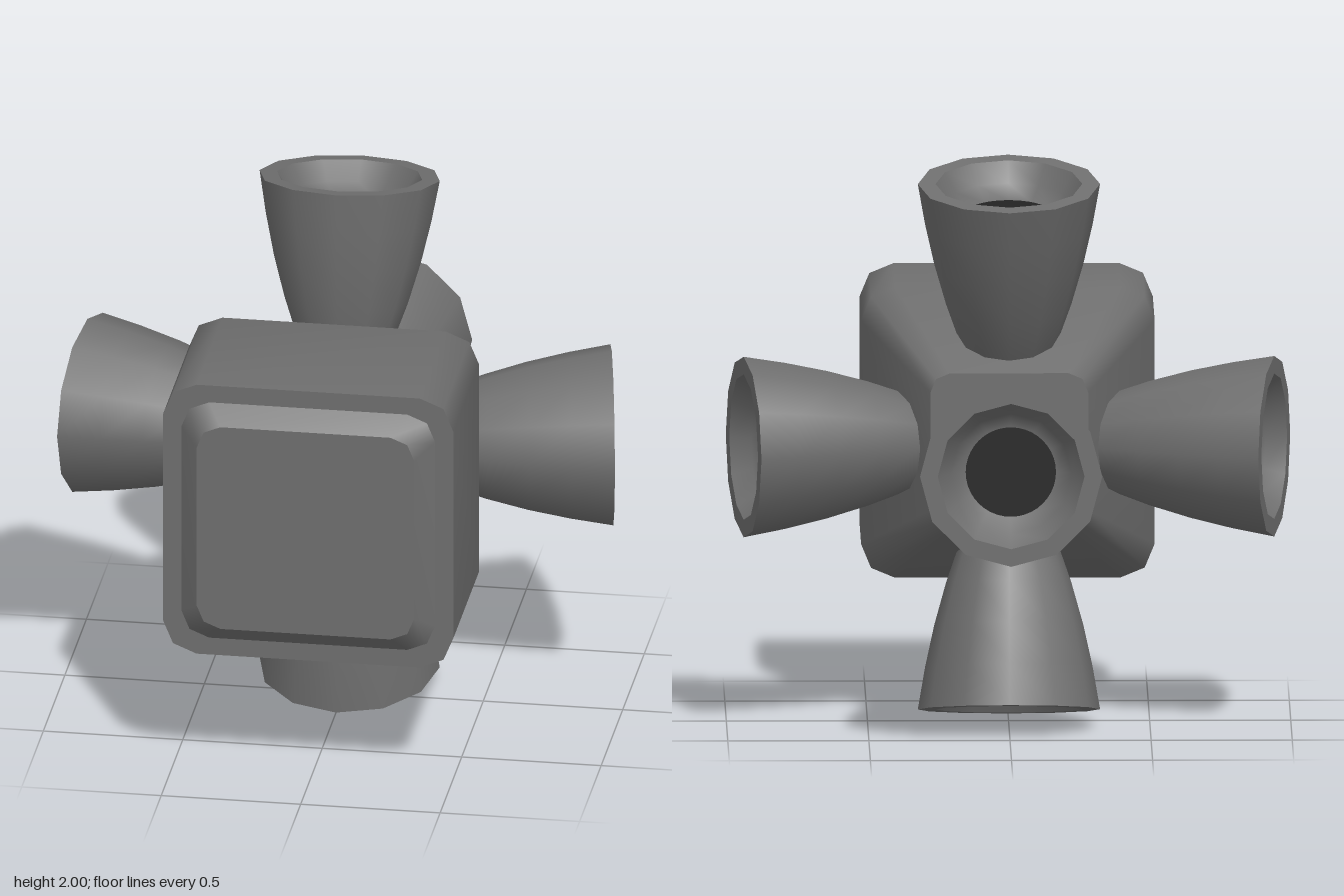
import * as THREE from 'three';

const hull = new THREE.MeshStandardMaterial({ color: 0x6e6e6e });
hull.name = 'hullGrey';
const dark = new THREE.MeshStandardMaterial({ color: 0x222222 });
dark.name = 'throatDark';

// Square outline with two-facet rounded corners, anticlockwise seen from +z
function outline(half, radius) {
  const points = [];
  for (let corner = 0; corner < 4; corner++) {
    const base = corner * Math.PI / 2;
    const cx = Math.SQRT2 * (half - radius) * Math.cos(base + Math.PI / 4);
    const cy = Math.SQRT2 * (half - radius) * Math.sin(base + Math.PI / 4);
    for (let i = 0; i < 3; i++) {
      const a = base + i * Math.PI / 4;
      points.push(new THREE.Vector2(cx + radius * Math.cos(a), cy + radius * Math.sin(a)));
    }
  }
  return points;
}

// Smooth skin through sections [half, radius, z], ordered front to back
function loft(sections) {
  const positions = [], index = [], n = 12;
  sections.forEach(([half, radius, z], s) => {
    outline(half, radius).forEach((p) => positions.push(p.x, p.y, z));
    if (!s) return;
    for (let i = 0; i < n; i++) {
      const a = (s - 1) * n + i, b = (s - 1) * n + (i + 1) % n;
      index.push(a, a + n, b, b, a + n, b + n);
    }
  });
  const geometry = new THREE.BufferGeometry();
  geometry.setAttribute('position', new THREE.Float32BufferAttribute(positions, 3));
  geometry.setIndex(index);
  geometry.computeVertexNormals();
  return geometry;
}

function cap(half, radius, z, back = false) {
  const geometry = new THREE.ShapeGeometry(new THREE.Shape(outline(half, radius)));
  if (back) geometry.rotateY(Math.PI);
  return geometry.translate(0, 0, z);
}

function add(parent, name, geometry, material = hull) {
  const mesh = new THREE.Mesh(geometry, material);
  mesh.name = name;
  parent.add(mesh);
  return mesh;
}

function lathe(points) {
  return new THREE.LatheGeometry(points.map(([r, y]) => new THREE.Vector2(r, y)), 12);
}

// Bell nozzle along +y with its rim at y = 0
function makeNozzle() {
  const nozzle = new THREE.Group();
  nozzle.name = 'nozzle';
  add(nozzle, 'nozzleBell', lathe([
    [0.1, -0.75], [0.17, -0.6], [0.222, -0.45], [0.264, -0.3], [0.297, -0.15], [0.323, 0],
  ]));
  add(nozzle, 'nozzleRim', lathe([[0.323, 0], [0.26, 0]]));
  add(nozzle, 'nozzleCup', lathe([[0.26, 0], [0.215, -0.07], [0.165, -0.12], [0, -0.125]]));
  const throat = new THREE.CircleGeometry(0.16, 40).rotateX(-Math.PI / 2).translate(0, -0.115, 0);
  add(nozzle, 'nozzleThroat', throat, dark);
  return nozzle;
}

export function createModel() {
  const model = new THREE.Group();
  model.name = 'thrusterBlock';
  const core = new THREE.Group();
  core.name = 'core';
  core.position.y = 1;
  model.add(core);

  // Body tapering towards the back
  add(core, 'body', loft([[0.52, 0.12, 0.825], [0.52, 0.12, 0.225], [0.28, 0.07, -0.26]]));
  add(core, 'bodyFront', cap(0.52, 0.12, 0.825));
  add(core, 'bodyBack', cap(0.28, 0.07, -0.26, true));

  // Raised front panel with bevelled edge
  add(core, 'panelBevel', loft([[0.39, 0.085, 0.89], [0.455, 0.1, 0.825]]));
  add(core, 'panelFace', cap(0.39, 0.085, 0.89));

  // Four nozzles around the sides, leaning back
  for (let i = 0; i < 4; i++) {
    const arm = new THREE.Group();
    arm.name = 'sideNozzle';
    arm.rotation.z = i * Math.PI / 2;
    const nozzle = makeNozzle();
    nozzle.position.set(0, 0.94, -0.137);
    nozzle.rotation.x = -0.187;
    arm.add(nozzle);
    core.add(arm);
  }

  // Rear nozzle
  const rear = makeNozzle();
  rear.name = 'rearNozzle';
  rear.position.z = -0.89;
  rear.rotation.x = -Math.PI / 2;
  core.add(rear);

  return model;
}
